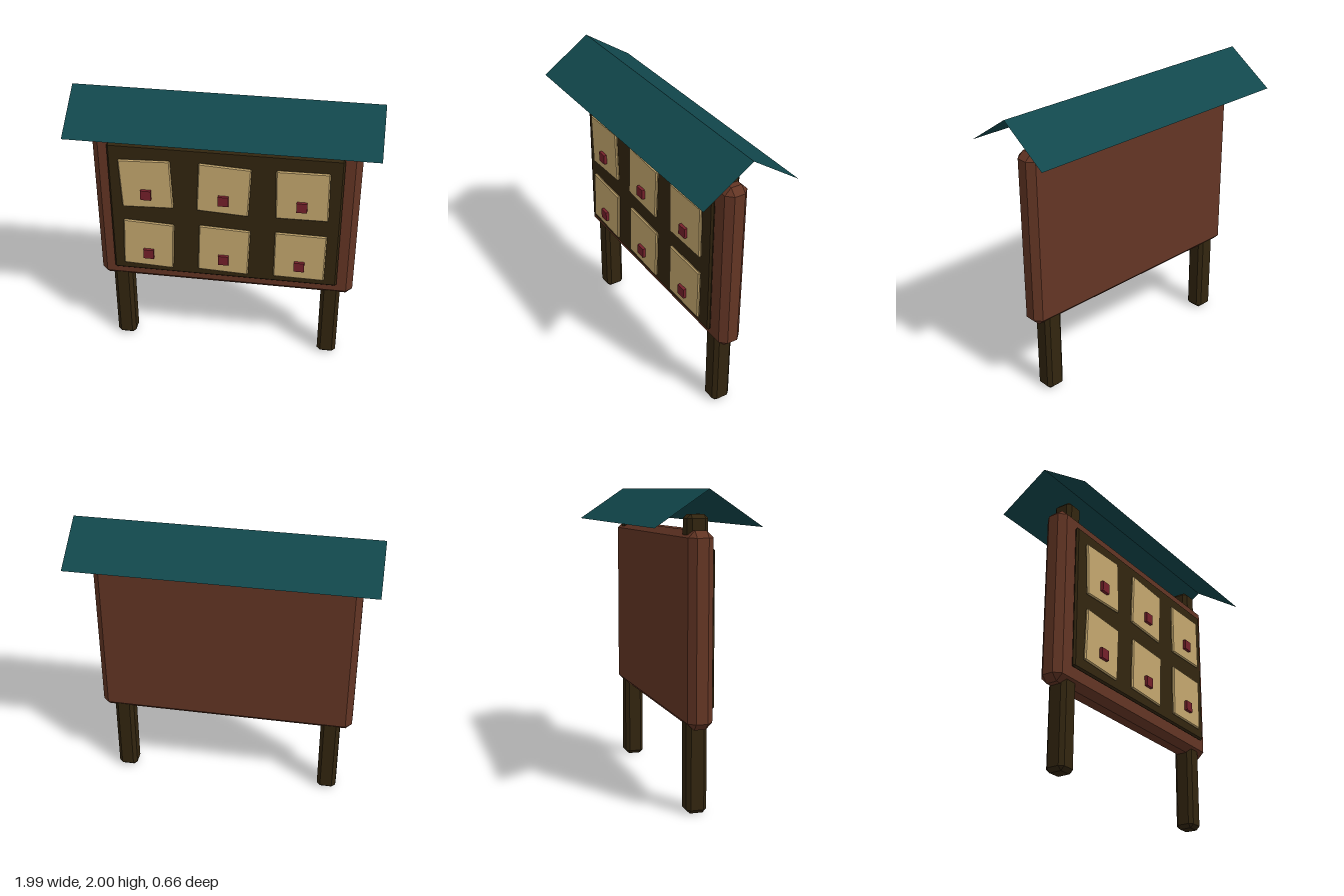
import * as THREE from 'three';
import { ConvexGeometry } from 'three/addons/geometries/ConvexGeometry.js';

const material = (name, color) => {
  const m = new THREE.MeshStandardMaterial({ color });
  m.name = name;
  return m;
};

// Box with every edge cut at 45 degrees
function chamferBox(w, h, d, c) {
  const half = [w / 2, h / 2, d / 2];
  const points = [];
  for (const sx of [-1, 1]) for (const sy of [-1, 1]) for (const sz of [-1, 1]) {
    const s = [sx, sy, sz];
    for (let axis = 0; axis < 3; axis++) {
      const p = half.map((v, i) => s[i] * (i === axis ? v : v - c));
      points.push(new THREE.Vector3(...p));
    }
  }
  return new ConvexGeometry(points);
}

export function createModel() {
  const model = new THREE.Group();
  model.name = 'noticeBoard';

  const brown = material('brown wood', 0x633524);
  const dark = material('dark wood', 0x32250f);
  const paper = material('parchment', 0xc4a76e);
  const red = material('red pin', 0x74202a);
  const teal = material('teal roof', 0x11474c);
  teal.side = THREE.DoubleSide;

  const add = (name, geometry, mat, x, y, z) => {
    const mesh = new THREE.Mesh(geometry, mat);
    mesh.name = name;
    mesh.position.set(x, y, z);
    model.add(mesh);
    return mesh;
  };

  // Posts
  const postGeo = chamferBox(0.133, 1.85, 0.133, 0.025);
  add('leftPost', postGeo, dark, 0.735, 0.925, 0);
  add('rightPost', postGeo, dark, -0.738, 0.925, 0);

  // Board and dark pin panel
  add('board', chamferBox(1.77, 1.21, 0.16, 0.043), brown, 0, 1.15, 0);
  add('panel', chamferBox(1.55, 0.995, 0.027, 0.012), dark, 0, 1.147, 0.104);

  // Crooked notes, each held by a square pin
  const noteGeo = chamferBox(0.348, 0.364, 0.02, 0.008);
  const pinGeo = new THREE.BoxGeometry(0.07, 0.07, 0.021);
  const columns = [-0.518, 0, 0.516];
  const rows = [
    { note: 1.37, pin: 1.296, tilt: [2.4, -3, 0.8] },
    { note: 0.89, pin: 0.818, tilt: [-2.5, -2.2, -0.6] },
  ];
  for (const row of rows) {
    columns.forEach((x, i) => {
      const note = add('note', noteGeo, paper, x, row.note, 0.134);
      note.rotation.z = THREE.MathUtils.degToRad(row.tilt[i]);
      add('pin', pinGeo, red, x, row.pin, 0.155);
    });
  }

  // Thin gable roof: two sloping sheets meeting at the ridge
  const run = 0.332, rise = 0.222;
  const sheetGeo = new THREE.PlaneGeometry(1.992, Math.hypot(run, rise));
  const slope = Math.atan2(run, rise);
  for (const side of [1, -1]) {
    const sheet = add(side > 0 ? 'frontRoof' : 'backRoof', sheetGeo, teal,
      0, 2 - rise / 2, side * run / 2);
    sheet.rotation.order = 'YXZ';
    sheet.rotation.set(-slope, side > 0 ? 0 : Math.PI, 0);
  }

  return model;
}
